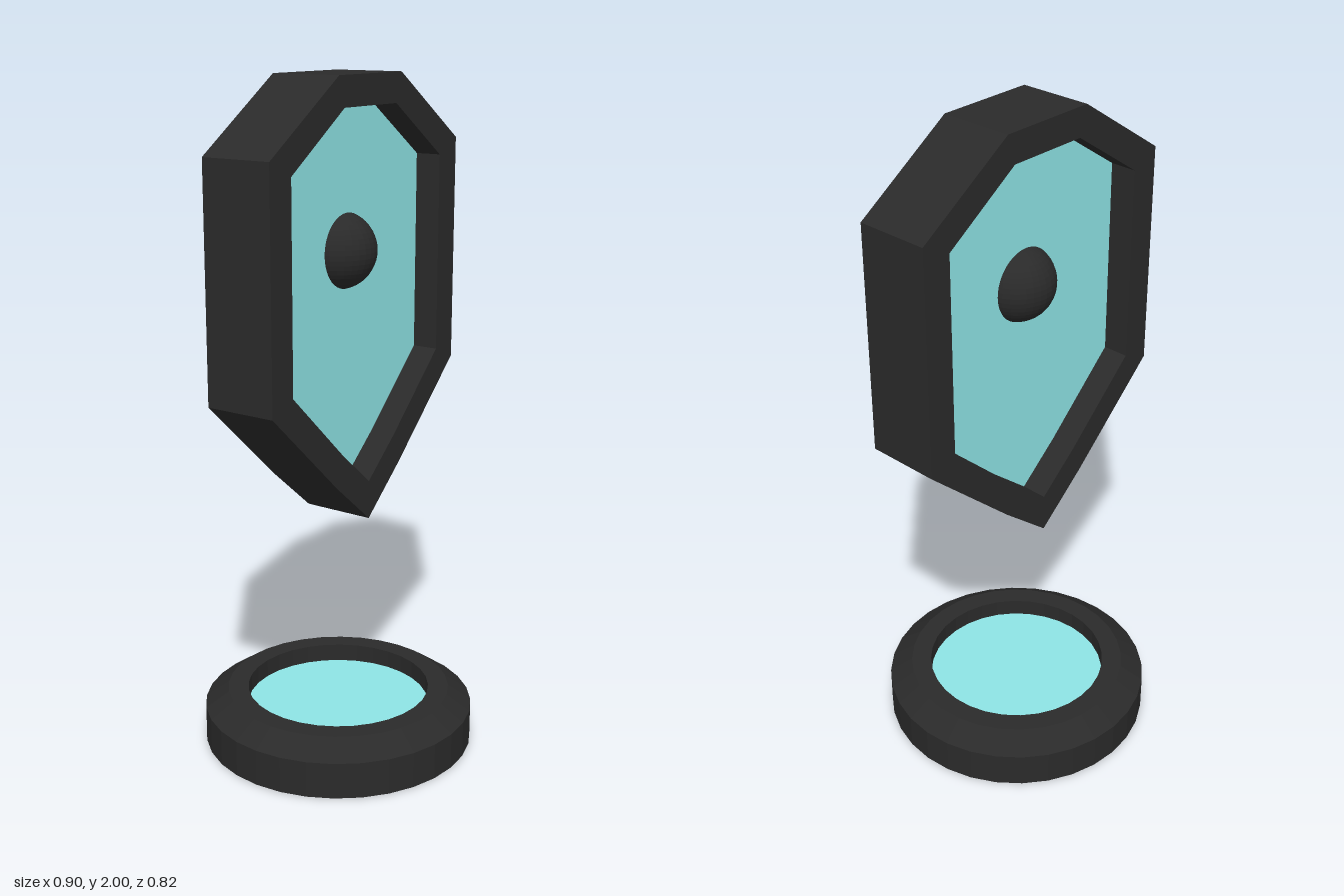
import * as THREE from 'three';

const frameMat = new THREE.MeshStandardMaterial({ color: 0x2a2a2a });
frameMat.name = 'charcoal';
const panelMat = new THREE.MeshStandardMaterial({ color: 0x8ee4e5 });
panelMat.name = 'paleTeal';

// Mirrors half an outline, listed top to bottom, across x = 0 (counter-clockwise)
function mirrored(half) {
  const left = half.map(([x, y]) => [-x, y]);
  const right = half.filter(([x]) => x > 0).reverse();
  return [...left, ...right].map(([x, y]) => new THREE.Vector2(x, y));
}

// Extrudes a shape to a depth centred on z = 0
function slab(shape, depth) {
  const geo = new THREE.ExtrudeGeometry(shape, { depth, bevelEnabled: false });
  return geo.translate(0, 0, -depth / 2);
}

// Gives each face its own flat normal
function faceted(geo) {
  const flat = geo.toNonIndexed();
  flat.computeVertexNormals();
  return flat;
}

export function createModel() {
  const model = new THREE.Group();
  model.name = 'shieldMarker';
  const add = (name, geo, mat, parent) => {
    const mesh = new THREE.Mesh(geo, mat);
    mesh.name = name;
    parent.add(mesh);
    return mesh;
  };

  // Floating shield: open frame, recessed panel and central ball
  const shield = new THREE.Group();
  shield.name = 'shield';
  model.add(shield);
  const outer = mirrored([[0.15, 2], [0.452, 1.8], [0.452, 1.13], [0.16, 0.86], [0, 0.725]]);
  const inner = mirrored([[0.125, 1.915], [0.362, 1.755], [0.362, 1.168], [0.13, 0.95], [0, 0.84]]);
  const frameShape = new THREE.Shape(outer);
  frameShape.holes.push(new THREE.Path(inner));
  add('shieldFrame', slab(frameShape, 0.22), frameMat, shield);
  add('shieldPanel', slab(new THREE.Shape(inner), 0.06), panelMat, shield);
  const ball = add('centreBall', faceted(new THREE.SphereGeometry(0.112, 32, 24)), frameMat, shield);
  ball.position.y = 1.51;

  // Round base: chamfered ring with a sunken disc
  const base = new THREE.Group();
  base.name = 'base';
  model.add(base);
  const profile = [[0, 0], [0.41, 0], [0.41, 0.11], [0.34, 0.158], [0.278, 0.158], [0.278, 0.09]];
  const ring = new THREE.LatheGeometry(profile.map(([x, y]) => new THREE.Vector2(x, y)), 32);
  add('baseRing', faceted(ring), frameMat, base);
  const disc = new THREE.CircleGeometry(0.278, 32).rotateX(-Math.PI / 2);
  add('baseDisc', disc, panelMat, base).position.y = 0.103;

  return model;
}
